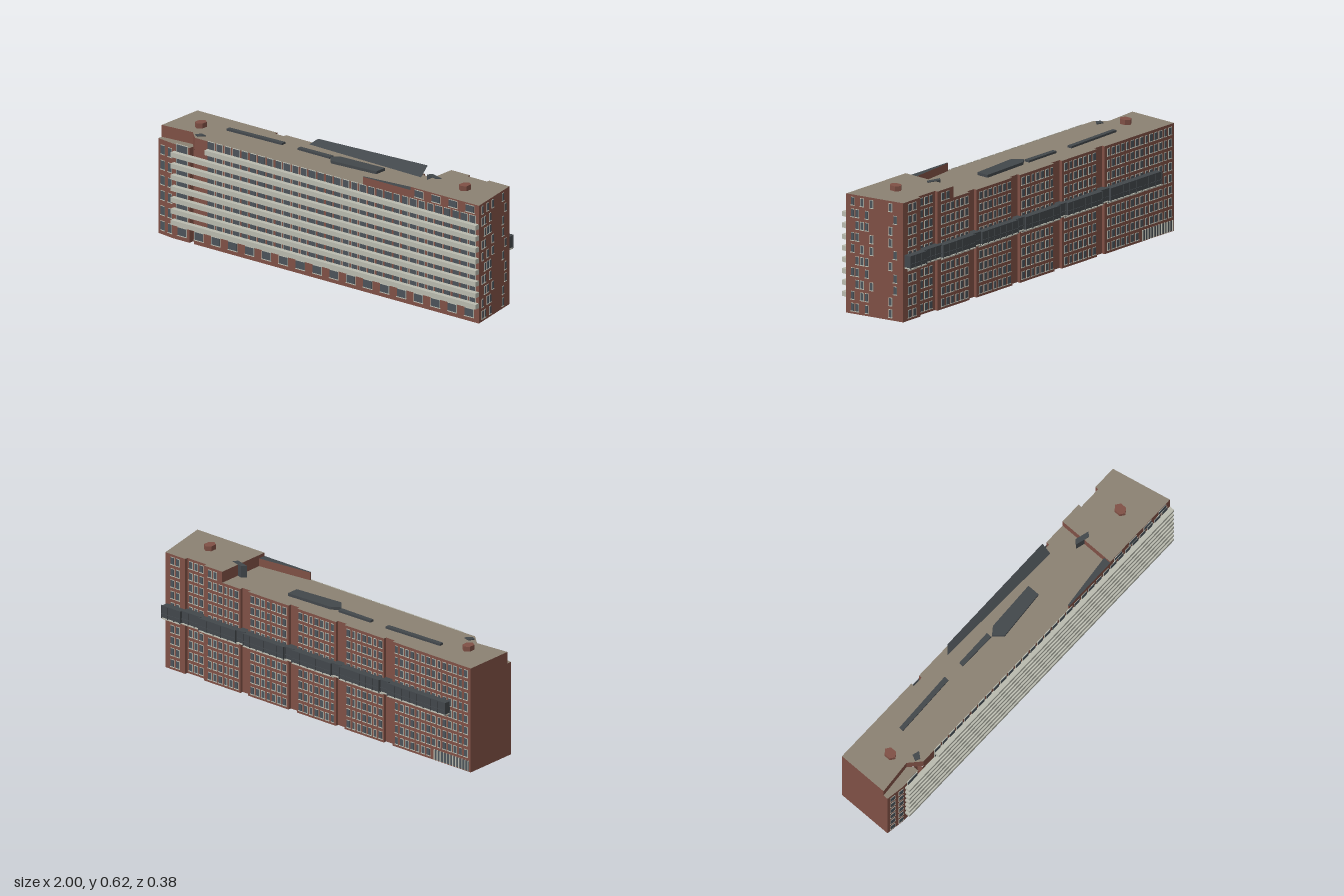
import * as THREE from 'three';
import { mergeGeometries } from 'three/addons/utils/BufferGeometryUtils.js';

const mat = (color) => new THREE.MeshStandardMaterial({ color, side: THREE.DoubleSide, flatShading: true });
const brick = mat(0x7f5045), roofing = mat(0x8b8172), pale = mat(0xb9baae);
const glass = mat(0x4b535a), dark = mat(0x42474b);

const FRONT = 0.16, BACK = -0.147, RECESS = -0.13;
const FLOOR = 0.059, LEDGE = 0.48, ROOF = 0.54, HIGH = 0.597, SPLIT = 0.575;
const recesses = [[0.69, 0.81], [0.41, 0.46], [0.1, 0.155], [-0.2, -0.145], [-0.505, -0.45]];
const endX = (z) => 1 - (FRONT - z) * 0.212; // slanted end wall

export function createModel() {
  const model = new THREE.Group();
  const add = (name, geometry, material) => {
    const mesh = new THREE.Mesh(geometry, material);
    mesh.name = name;
    model.add(mesh);
    return mesh;
  };
  const box = (w, h, d, x, y, z, turn = 0) =>
    new THREE.BoxGeometry(w, h, d).rotateY(turn).translate(x, y, z);

  // Walls around a closed outline of [x, z] points, open above and below
  const walls = (name, outline, y0, y1) => {
    const p = [];
    outline.forEach(([ax, az], i) => {
      const [bx, bz] = outline[(i + 1) % outline.length];
      p.push(ax, y0, az, bx, y0, bz, bx, y1, bz, ax, y0, az, bx, y1, bz, ax, y1, az);
    });
    const g = new THREE.BufferGeometry();
    g.setAttribute('position', new THREE.Float32BufferAttribute(p, 3));
    g.computeVertexNormals();
    add(name, g, brick);
  };
  const slab = (name, outline, y, material = roofing) => {
    const shape = new THREE.Shape(outline.map(([x, z]) => new THREE.Vector2(x, -z)));
    add(name, new THREE.ShapeGeometry(shape).rotateX(-Math.PI / 2).translate(0, y, 0), material);
  };

  // Rear outline running from +x to -x with its stair recesses
  const rear = (minX) => recesses.filter((r) => r[0] > minX)
    .flatMap(([a, b]) => [[b, BACK], [b, RECESS], [a, RECESS], [a, BACK]]);
  const rightEnd = [[1, FRONT], [endX(BACK), BACK]];
  const lower = [[-1, 0.145], [-0.9, FRONT], [-0.795, FRONT], [-0.795, 0.13], [-0.768, 0.13],
    [-0.768, FRONT], ...rightEnd, ...rear(-1), [-1, BACK]];
  const upper = [[-1, 0.12], [-0.82, 0.105], [-0.76, FRONT], ...rightEnd, ...rear(-1), [-1, BACK]];
  const tower = [[SPLIT, FRONT], ...rightEnd, ...rear(SPLIT), [SPLIT, BACK]];
  walls('lowerWalls', lower, 0, LEDGE);
  walls('upperWalls', upper, LEDGE, ROOF);
  walls('raisedBlockWalls', tower, ROOF, HIGH);
  slab('cornerLedge', [[-1, 0.145], [-0.9, FRONT], [-0.795, FRONT], [-0.795, 0.13], [-0.82, 0.105], [-1, 0.12]], LEDGE);
  slab('mainRoof', upper, ROOF);
  slab('raisedRoof', tower, HIGH);

  // Parapet wedge leading up to the raised block
  const wedge = [[0.28, 0.152], [0.28, FRONT], [SPLIT, FRONT], [SPLIT, 0.12]];
  walls('parapetWedge', wedge, ROOF, 0.58);
  slab('parapetTop', wedge, 0.58, dark);

  // Windows: a pale frame and a sill, with a dark pane proud of them
  const frames = [], panes = [];
  const windowAt = (x, y, z, w, h, turn = 0) => {
    frames.push(box(w + 0.005, h + 0.005, 0.004, x, y, z, turn));
    frames.push(box(w + 0.009, 0.003, 0.008, x, y - h / 2 - 0.003, z, turn));
    panes.push(box(w, h, 0.007, x, y, z, turn));
  };

  // Front windows: ground floor, apartments, raised block and corner columns
  for (let i = 0; i < 18; i++) windowAt(-0.84 + i * 0.1047, 0.044, FRONT, 0.052, 0.038);
  for (let f = 0; f < 8; f++) {
    const y = 0.121 + f * 0.0572;
    if (f < 7) windowAt(-0.84, y, FRONT, 0.066, 0.036);
    for (let i = 0; i < 32; i++) windowAt(-0.66 + i * 0.0523, y, FRONT, i % 3 ? 0.034 : 0.04, 0.036);
  }
  for (let i = 0; i < 4; i++) windowAt(0.63 + i * 0.105, 0.571, FRONT, 0.05, 0.032);
  for (let f = 0; f < 6; f++) {
    for (const x of [-0.968, -0.917]) {
      windowAt(x, 0.045 + f * 0.077, 0.145 + (x + 1) * 0.15, 0.024, 0.042, -0.149);
    }
  }

  // End-wall windows, ground floor first, staggered from floor to floor
  const columns = { A: 0.125, B: 0.1, C: 0.074, D: 0.049, E: 0.023, F: -0.079, G: -0.104 };
  ['ABDF', 'ACDF', 'BCEG', 'ABDG', 'BCDF', 'ACEG', 'ABEF', 'BCDF', 'ABDG', 'ACEF'].forEach((row, f) => {
    for (const c of row) {
      windowAt(endX(columns[c]), 0.034 + f * FLOOR, columns[c], 0.014, 0.036, Math.PI / 2 + Math.atan(0.212));
    }
  });

  // Rear windows follow the bays and recesses
  for (let f = 0; f < 10; f++) {
    for (let i = 0; i < 56; i++) {
      const x = -0.97 + i * 0.0338;
      if (f === 9 && x < SPLIT + 0.02) continue;
      if (f === 0 && x < -0.76) continue;
      if (recesses.flat().some((edge) => Math.abs(edge - x) < 0.014)) continue;
      const inside = recesses.some(([a, b]) => x > a && x < b);
      windowAt(x, 0.034 + f * FLOOR, inside ? RECESS : BACK, i % 4 === 1 ? 0.012 : 0.019, 0.034);
    }
  }

  // Rear entrance glazing with pale posts
  panes.push(box(0.22, 0.05, 0.004, -0.88, 0.03, BACK));
  for (let i = 0; i < 12; i++) frames.push(box(0.005, 0.054, 0.012, -0.987 + i * 0.0195, 0.03, BACK));
  add('windowFrames', mergeGeometries(frames), pale);
  add('windowPanes', mergeGeometries(panes), glass);

  // Continuous front balconies; the top one is shorter
  const balconies = [];
  for (let f = 0; f < 8; f++) {
    const x0 = f === 7 ? -0.68 : -0.89;
    balconies.push(box(1 - x0, 0.024, 0.027, (1 + x0) / 2, 0.09 + f * 0.0572, FRONT + 0.0135));
  }
  add('balconies', mergeGeometries(balconies), pale);

  // Rear gallery, stepping in at each recess
  const gallery = [], trims = [];
  const section = (x0, x1, inner, outer) => {
    const w = x1 - x0, x = (x0 + x1) / 2, d = inner - outer, z = (inner + outer) / 2;
    gallery.push(box(w, 0.06, d, x, 0.305, z));
    trims.push(box(w, 0.005, d + 0.004, x, 0.27, z));
    const n = Math.max(1, Math.round(w / 0.045));
    for (let i = 0; i <= n; i++) gallery.push(box(0.004, 0.066, 0.005, x0 + (w * i) / n, 0.305, outer));
    for (const y of [0.295, 0.336]) gallery.push(box(w, 0.004, 0.006, x, y, outer));
  };
  let end = 0.925;
  for (const [a, b] of recesses) {
    section(b, end, BACK, -0.185);
    section(a, b, RECESS, -0.172);
    end = a;
  }
  section(-0.87, end, BACK, -0.185);
  add('rearGallery', mergeGeometries(gallery), dark);
  add('galleryFloor', mergeGeometries(trims), pale);

  // Low roof lights
  const light = (outline, y, h) => {
    const shape = new THREE.Shape(outline.map(([x, z]) => new THREE.Vector2(x, -z)));
    const g = new THREE.ExtrudeGeometry(shape, { depth: h, bevelEnabled: false });
    add('roofLight', g.rotateX(-Math.PI / 2).translate(0, y, 0), dark);
  };
  light([[-0.71, -0.015], [-0.375, -0.025], [-0.375, -0.05], [-0.71, -0.038]], ROOF, 0.01);
  light([[-0.275, -0.022], [-0.075, -0.02], [-0.075, -0.048], [-0.275, -0.045]], ROOF, 0.01);
  light([[-0.07, -0.02], [-0.03, 0.025], [0.235, 0.005], [0.235, -0.06], [-0.03, -0.05]], ROOF, 0.014);
  light([[0.53, -0.02], [0.6, 0], [0.62, -0.02], [0.55, -0.04]], ROOF, 0.06);
  light([[-0.785, 0.13], [-0.76, 0.14], [-0.735, 0.11], [-0.77, 0.1]], ROOF, 0.004);

  // One-sided tilted screen along the rear roof edge
  const screen = new THREE.BufferGeometry();
  screen.setAttribute('position', new THREE.Float32BufferAttribute([
    -0.28, 0.541, -0.115, 0.43, 0.541, -0.095, 0.43, 0.588, -0.145,
    -0.28, 0.541, -0.115, 0.43, 0.588, -0.145, -0.25, 0.568, -0.145], 3));
  screen.computeVertexNormals();
  add('roofScreen', screen, new THREE.MeshStandardMaterial({ color: 0x42474b }));

  // Six-sided chimneys
  for (const [x, y, z] of [[0.8, HIGH, 0.022], [-0.84, ROOF, 0.02]]) {
    add('chimney', new THREE.CylinderGeometry(0.033, 0.033, 0.025, 6).scale(0.8, 1, 1).translate(x, y + 0.0125, z), brick);
  }
  return model;
}
